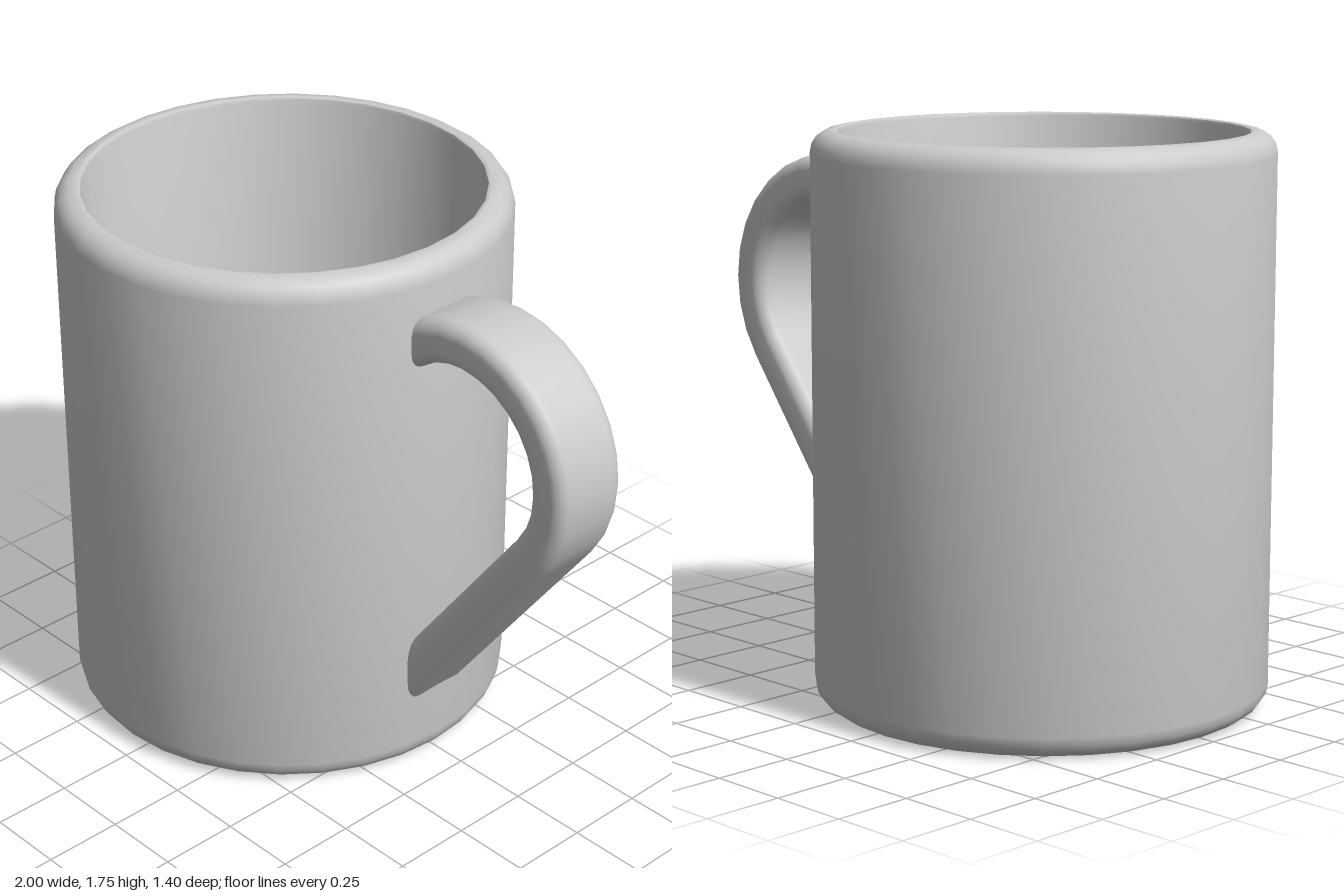
import * as THREE from 'three';
import { toCreasedNormals } from 'three/addons/utils/BufferGeometryUtils.js';

const material = new THREE.MeshStandardMaterial({ color: 0xcccccc, side: THREE.DoubleSide });

// Points of a rounded corner, angles in degrees
function corner(cx, cy, r, from, to, steps = 4) {
  return Array.from({ length: steps + 1 }, (_, i) => {
    const a = THREE.MathUtils.degToRad(from + (to - from) * i / steps);
    return new THREE.Vector2(cx + r * Math.cos(a), cy + r * Math.sin(a));
  });
}

// Hollow cup with rounded base, rim and inner floor
function createCup() {
  const R = 0.7, H = 1.75, bevel = 0.07, inner = 0.615, floor = 0.1, fillet = 0.035;
  const profile = [
    new THREE.Vector2(0, 0),
    ...corner(R - bevel, bevel, bevel, -90, 0),
    ...corner(R - bevel, H - bevel, bevel, 0, 90),
    ...corner(inner + 0.012, H - 0.012, 0.012, 90, 180, 2),
    ...corner(inner - fillet, floor + fillet, fillet, 0, -90),
    new THREE.Vector2(0, floor),
  ];
  const mesh = new THREE.Mesh(toCreasedNormals(new THREE.LatheGeometry(profile, 32), 0.7), material);
  mesh.name = 'cup';
  mesh.position.x = -0.3;
  return mesh;
}

// Rounded strap swept along an arc and a straight tangent
function createHandle() {
  const cx = 0.57, cy = 1.19, r = 0.36, endX = 0.35;
  const t = 0.07, w = 0.13, c = 0.045;
  const path = corner(cx, cy, r, 126, -37, 13).map((p, i) => {
    const a = THREE.MathUtils.degToRad(126 - 163 * i / 13);
    return { p, n: new THREE.Vector2(Math.cos(a), Math.sin(a)) };
  });
  const last = path[path.length - 1];
  const tangent = new THREE.Vector2(last.n.y, -last.n.x);
  path.push({ p: last.p.clone().addScaledVector(tangent, (endX - last.p.x) / tangent.x), n: last.n });

  // Cross-section: x across the thickness, y across the width
  const section = [
    ...corner(t - c, w - c, c, 0, 90),
    ...corner(c - t, w - c, c, 90, 180),
    ...corner(c - t, c - w, c, 180, 270),
    ...corner(t - c, c - w, c, 270, 360),
  ];
  const m = section.length, positions = [], index = [];
  path.forEach(({ p, n }, i) => {
    const isEnd = i === 0 || i === path.length - 1;
    section.forEach((s, j) => {
      let x = p.x + n.x * s.x, y = p.y + n.y * s.x;
      // End rings are cut upright inside the cup wall
      if (isEnd) {
        y += (endX - x) * (-n.x / n.y);
        x = endX;
      }
      positions.push(x, y, s.y);
      if (i > 0) {
        const k = (j + 1) % m, a = (i - 1) * m + j, b = (i - 1) * m + k, d = i * m + j, e = i * m + k;
        index.push(a, d, b, b, d, e);
      }
    });
  });
  const geometry = new THREE.BufferGeometry();
  geometry.setAttribute('position', new THREE.Float32BufferAttribute(positions, 3));
  geometry.setIndex(index);
  geometry.computeVertexNormals();
  const mesh = new THREE.Mesh(geometry, material);
  mesh.name = 'handle';
  return mesh;
}

export function createModel() {
  const group = new THREE.Group();
  group.name = 'mug';
  group.add(createCup(), createHandle());
  return group;
}
